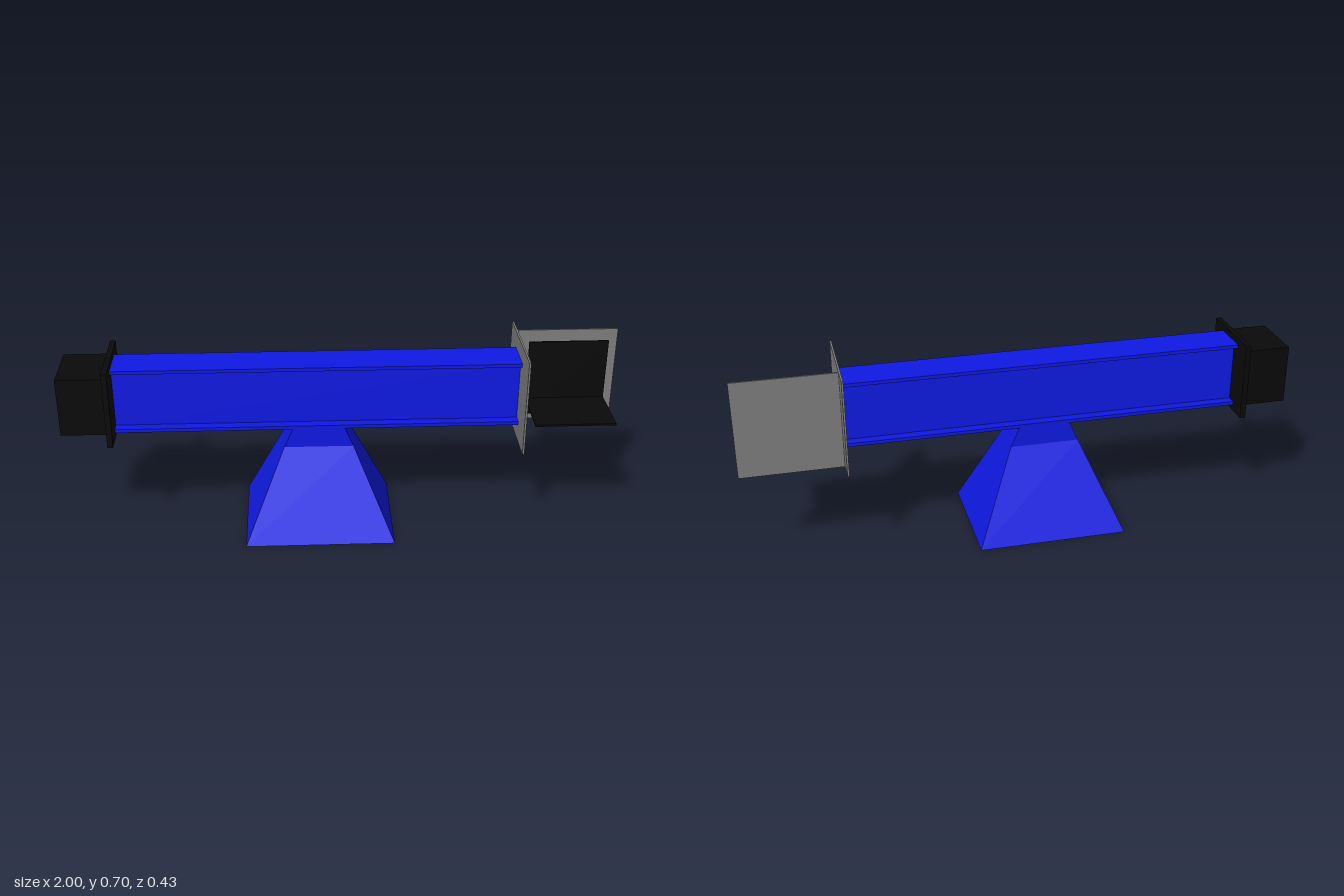
import * as THREE from 'three';

const paint = (color) => new THREE.MeshStandardMaterial({ color, flatShading: true });

// Frustum stack: each section is [y, halfX, halfZ]
function rectLoft(sections) {
  const pos = [], idx = [];
  for (const [y, a, b] of sections) pos.push(-a, y, b, a, y, b, a, y, -b, -a, y, -b);
  for (let s = 0; s < sections.length - 1; s++) {
    for (let i = 0; i < 4; i++) {
      const p = s * 4 + i, q = s * 4 + (i + 1) % 4;
      idx.push(p, q, q + 4, p, q + 4, p + 4);
    }
  }
  const t = (sections.length - 1) * 4;
  idx.push(0, 2, 1, 0, 3, 2, t, t + 1, t + 2, t, t + 2, t + 3);
  const geo = new THREE.BufferGeometry();
  geo.setAttribute('position', new THREE.Float32BufferAttribute(pos, 3));
  geo.setIndex(idx);
  const flat = geo.toNonIndexed();
  flat.computeVertexNormals();
  return flat;
}

export function createModel() {
  const model = new THREE.Group();
  model.name = 'beamOnStand';
  const blue = paint(0x0f1ae6), black = paint(0x0a0a0a), grey = paint(0x808080);

  const add = (name, geo, mat) => {
    const mesh = new THREE.Mesh(geo, mat);
    mesh.name = name;
    model.add(mesh);
    return mesh;
  };
  // Box given by its limits on each axis
  const box = (name, mat, [x0, x1], [y0, y1], [z0, z1]) =>
    add(name, new THREE.BoxGeometry(x1 - x0, y1 - y0, z1 - z0), mat)
      .position.set((x0 + x1) / 2, (y0 + y1) / 2, (z0 + z1) / 2);

  // Pyramid stand with a neck cut upright front and back
  add('stand', rectLoft([[0, 0.27, 0.215], [0.33, 0.125, 0.072], [0.41, 0.09, 0.072]]), blue)
    .position.x = -0.09;

  // I-beam, extruded along x
  const W = 0.072, web = 0.037, y0 = 0.402, y1 = 0.643, f = 0.013;
  const profile = new THREE.Shape([
    [-W, y0], [W, y0], [W, y0 + f], [web, y0 + f], [web, y1 - f], [W, y1 - f],
    [W, y1], [-W, y1], [-W, y1 - f], [-web, y1 - f], [-web, y0 + f], [-W, y0 + f],
  ].map(([x, y]) => new THREE.Vector2(x, y)));
  const beam = new THREE.ExtrudeGeometry(profile, { depth: 1.45, bevelEnabled: false });
  beam.rotateY(Math.PI / 2).translate(-0.82, 0, 0);
  add('beam', beam, blue);

  // Counterweight end
  box('endFlange', black, [-0.835, -0.815], [0.38, 0.665], [-0.143, 0.143]);
  box('counterweight', black, [-1, -0.83], [0.415, 0.63], [-0.108, 0.108]);

  // Carrier end: two grey plates, a spacer and an angled black shelf
  box('endPlate', grey, [0.628, 0.635], [0.342, 0.7], [-0.175, 0.185]);
  box('backPlate', grey, [0.635, 1], [0.342, 0.7], [-0.1, -0.093]);
  box('spacer', grey, [0.802, 0.837], [0.503, 0.54], [-0.093, -0.07]);
  box('shelfBack', black, [0.675, 0.963], [0.376, 0.665], [-0.071, -0.063]);
  box('shelf', black, [0.675, 0.963], [0.434, 0.441], [-0.063, 0.15]);

  return model;
}
